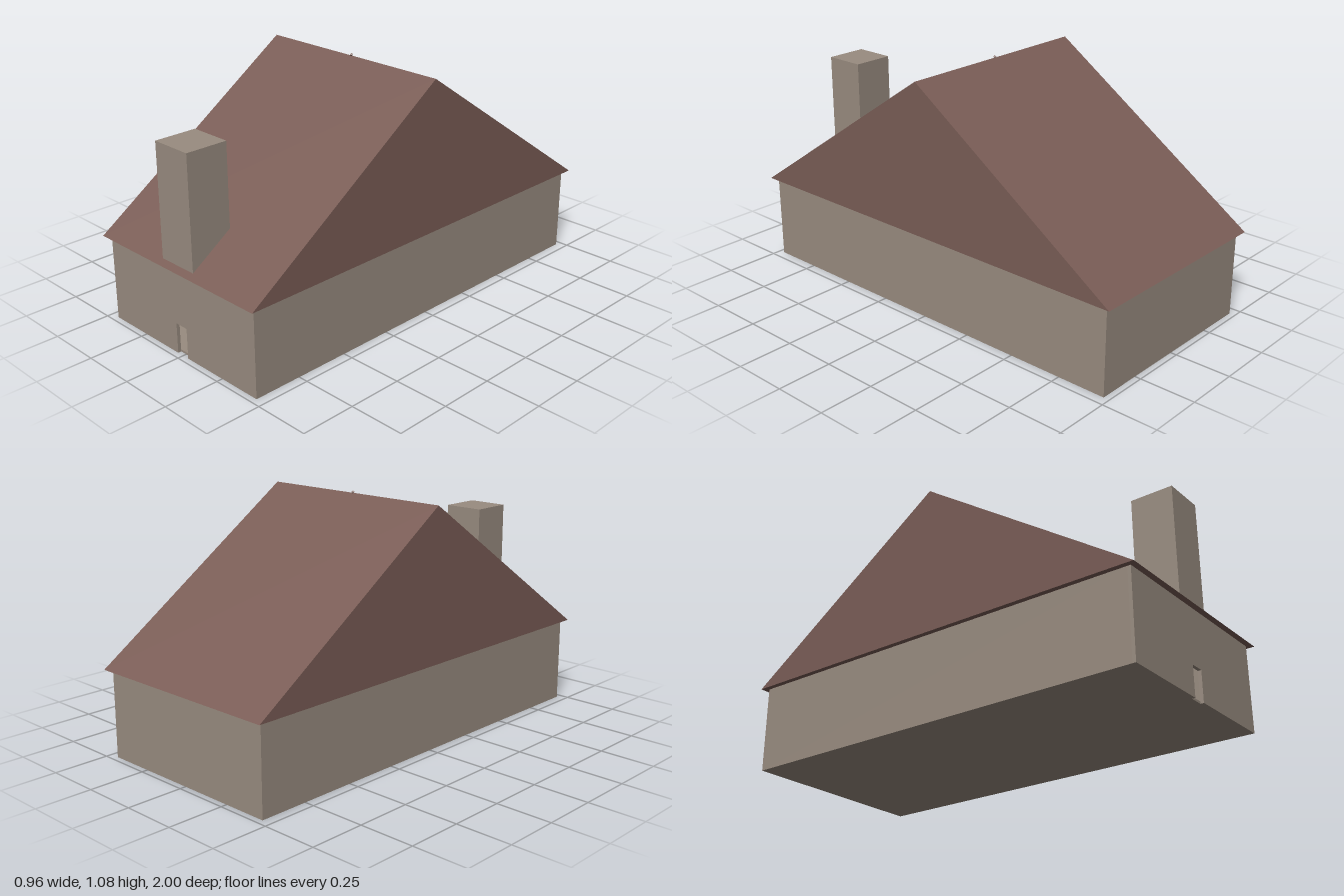
import * as THREE from 'three';

const stone = new THREE.MeshStandardMaterial({ color: 0x998c80 });
stone.name = 'stone';
const tile = new THREE.MeshStandardMaterial({ color: 0x7a5d56 });
tile.name = 'roofTile';

const WALL_X = 0.456, WALL_Z = 0.973, EAVE = 0.39, THICK = 0.015;
const ROOF_X = 0.48, RIDGE = 1.07;

export function createModel() {
  const house = new THREE.Group();
  house.name = 'house';

  const add = (name, geometry, material, x = 0, y = 0, z = 0) => {
    const mesh = new THREE.Mesh(geometry, material);
    mesh.name = name;
    mesh.position.set(x, y, z);
    house.add(mesh);
    return mesh;
  };
  // Box given by its minimum and maximum corners
  const box = (name, material, a, b) => add(name,
    new THREE.BoxGeometry(b[0] - a[0], b[1] - a[1], b[2] - a[2]), material,
    (a[0] + b[0]) / 2, (a[1] + b[1]) / 2, (a[2] + b[2]) / 2);
  // Outline in x and y, extruded along z
  const extrude = (points, depth) => new THREE.ExtrudeGeometry(
    new THREE.Shape(points.map(([x, y]) => new THREE.Vector2(x, y))),
    { depth, bevelEnabled: false });

  // Front wall with an open doorway reaching the ground
  const doorX = 0.033, doorTop = 0.137;
  add('frontWall', extrude([
    [-WALL_X, 0], [-doorX, 0], [-doorX, doorTop], [doorX, doorTop],
    [doorX, 0], [WALL_X, 0], [WALL_X, EAVE], [-WALL_X, EAVE],
  ], THICK), stone, 0, 0, WALL_Z - THICK);

  // Remaining walls and floor around the hollow interior
  const inX = WALL_X - THICK, inZ = WALL_Z - THICK;
  box('backWall', stone, [-WALL_X, 0, -WALL_Z], [WALL_X, EAVE, -inZ]);
  box('leftWall', stone, [inX, 0, -inZ], [WALL_X, EAVE, inZ]);
  box('rightWall', stone, [-WALL_X, 0, -inZ], [-inX, EAVE, inZ]);
  box('floor', stone, [-inX, 0, -inZ], [inX, 0.01, inZ]);

  // Gable roof: triangle turned so the ridge runs along x
  const roof = extrude([[-1, EAVE], [1, EAVE], [0, RIDGE]], ROOF_X * 2);
  roof.translate(0, 0, -ROOF_X).rotateY(Math.PI / 2);
  add('roof', roof, tile);

  // Chimney rising from the front slope
  box('chimney', stone, [-0.097, 0.4, 0.78], [0.097, 0.91, WALL_Z]);

  // Tiny finial in the middle of the ridge
  add('finial', new THREE.OctahedronGeometry(0.009), tile, 0, 1.073, 0);

  return house;
}
